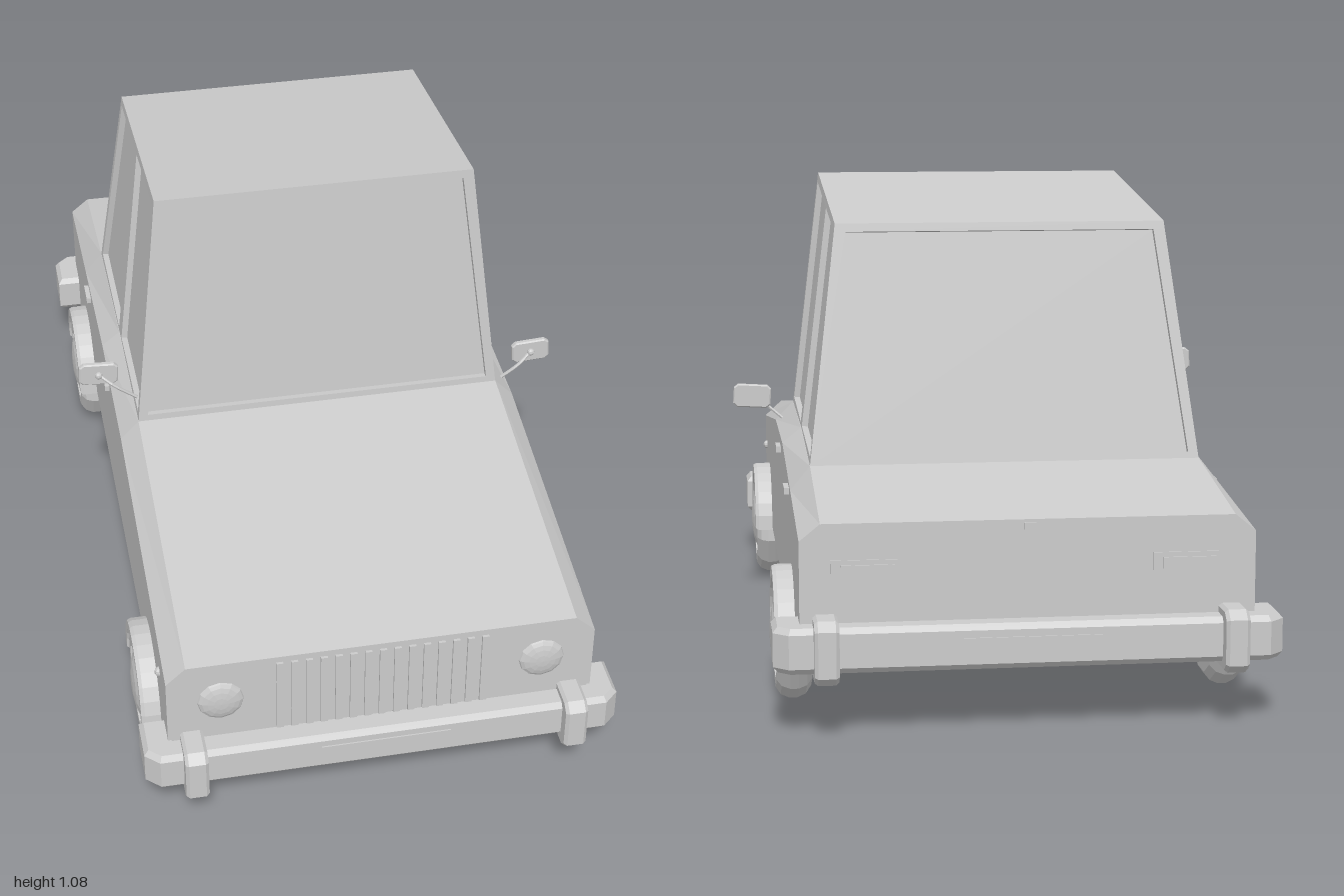
import * as THREE from 'three';

const mat = new THREE.MeshStandardMaterial({ color: 0xcccccc, flatShading: true });
const matDouble = new THREE.MeshStandardMaterial({ color: 0xcccccc, flatShading: true, side: THREE.DoubleSide });

function add(parent, name, geo, x = 0, y = 0, z = 0, material = mat) {
  const m = new THREE.Mesh(geo, material);
  m.name = name;
  m.position.set(x, y, z);
  parent.add(m);
  return m;
}

const box = (w, h, d) => new THREE.BoxGeometry(w, h, d);

// Faceted geometry from four-cornered faces, counter-clockwise from outside
function fromQuads(quads) {
  const pts = quads.flatMap(([a, b, c, d]) => [a, b, c, a, c, d]);
  const g = new THREE.BufferGeometry().setFromPoints(pts);
  g.computeVertexNormals();
  return g;
}

// Flat panel with recessed windows; each window is [bottom u0, bottom u1, top u1, top u0]
function windowPanel([a, b, c, d], windows, v0 = 0.03, v1 = 0.965, depth = 0.014) {
  const n = b.clone().sub(a).cross(d.clone().sub(a)).normalize();
  const P = (u, v, k = 0) => a.clone().lerp(b, u).lerp(d.clone().lerp(c, u), v).addScaledVector(n, -k);
  const quads = [
    [P(0, 0), P(1, 0), P(1, v0), P(0, v0)],
    [P(0, v1), P(1, v1), P(1, 1), P(0, 1)],
  ];
  let [lb, lt] = [0, 0];
  for (const [u0, u1, u2, u3] of [...windows, [1, 1, 1, 1]]) {
    quads.push([P(lb, v0), P(u0, v0), P(u3, v1), P(lt, v1)]);
    [lb, lt] = [u1, u2];
  }
  for (const [u0, u1, u2, u3] of windows) {
    const rim = [[u0, v0], [u1, v0], [u2, v1], [u3, v1]];
    quads.push(rim.map(([u, v]) => P(u, v, depth)));
    rim.forEach((p, i) => {
      const q = rim[(i + 1) % 4];
      quads.push([P(...p), P(...q), P(...q, depth), P(...p, depth)]);
    });
  }
  return fromQuads(quads);
}

// Lower body: six-sided sections [z, crease height, top height], front to back
function bodyGeometry() {
  const rows = [[0.912, 0.38, 0.42], [0.19, 0.482, 0.527], [-0.18, 0.487, 0.522], [-0.565, 0.448, 0.5], [-0.918, 0.41, 0.445]];
  const rings = rows.map(([z, crease, top]) =>
    [[0.468, 0.148], [0.468, crease], [0.425, top], [-0.425, top], [-0.468, crease], [-0.468, 0.148]]
      .map(([x, y]) => new THREE.Vector3(x, y, z)));
  const quads = [];
  for (let i = 0; i < rings.length - 1; i++)
    for (let j = 0; j < 6; j++) {
      const k = (j + 1) % 6;
      quads.push([rings[i][j], rings[i + 1][j], rings[i + 1][k], rings[i][k]]);
    }
  const f = rings[0], r = rings[rings.length - 1];
  quads.push([f[0], f[1], f[4], f[5]], [f[1], f[2], f[3], f[4]]);
  quads.push([r[5], r[4], r[1], r[0]], [r[4], r[3], r[2], r[1]]);
  return fromQuads(quads);
}

function buildCabin(car) {
  const cabin = new THREE.Group();
  cabin.name = 'cabin';
  const V = (x, y, z) => new THREE.Vector3(x, y, z);
  const corners = s => ({
    fb: V(s * 0.425, 0.525, 0.19), ft: V(s * 0.361, 1.09, 0.14),
    rb: V(s * 0.425, 0.498, -0.565), rt: V(s * 0.361, 1.012, -0.465),
  });
  const L = corners(1), R = corners(-1);
  const whole = [[0.025, 0.975, 0.965, 0.035]];
  const side = [[0.025, 0.445, 0.49, 0.03], [0.51, 0.97, 0.965, 0.555]];
  const flipped = side.map(([a, b, c, d]) => [1 - b, 1 - a, 1 - d, 1 - c]).reverse();
  add(cabin, 'windscreen', windowPanel([R.fb, L.fb, L.ft, R.ft], whole));
  add(cabin, 'rearWindow', windowPanel([L.rb, R.rb, R.rt, L.rt], whole));
  add(cabin, 'leftWindows', windowPanel([L.fb, L.rb, L.rt, L.ft], side));
  add(cabin, 'rightWindows', windowPanel([R.rb, R.fb, R.ft, R.rt], flipped));
  add(cabin, 'roof', fromQuads([[R.ft, L.ft, L.rt, R.rt]]));
  car.add(cabin);
}

// Wheel with hubcap and arch, outer side facing +x
function buildWheel(name) {
  const wheel = new THREE.Group();
  wheel.name = name;
  const lathe = pts => new THREE.LatheGeometry(pts.map(p => new THREE.Vector2(...p)), 12, Math.PI / 12).rotateZ(-Math.PI / 2);
  add(wheel, 'tyre', lathe([[0, -0.038], [0.115, -0.038], [0.133, -0.026], [0.141, -0.008], [0.141, 0.01],
    [0.133, 0.028], [0.118, 0.038], [0.098, 0.038], [0.094, 0.026], [0, 0.026]]));
  add(wheel, 'hubcap', lathe([[0.094, 0.024], [0.078, 0.03], [0.074, 0.036], [0.052, 0.044], [0.026, 0.048], [0, 0.049]]));
  const arch = new THREE.Shape();
  arch.absarc(0, 0, 0.142, 0, Math.PI, false);
  arch.absarc(0, 0, 0.122, Math.PI, 0, true);
  const g = new THREE.ExtrudeGeometry(arch, {
    depth: 0.045, curveSegments: 7, bevelEnabled: true, bevelSegments: 1, bevelSize: 0.004, bevelThickness: 0.008,
  });
  add(wheel, 'wheelArch', g.rotateY(Math.PI / 2), -0.01);
  return wheel;
}

// Wrap-around bumper with two guards and a number plate, facing +z
function buildBumper(name) {
  const bumper = new THREE.Group();
  bumper.name = name;
  const outer = [[0.513, 0.85], [0.513, 0.932], [0.488, 0.955], [-0.488, 0.955], [-0.513, 0.932], [-0.513, 0.85],
    [-0.46, 0.85], [-0.46, 0.915], [0.46, 0.915], [0.46, 0.85]];
  const bar = new THREE.ExtrudeGeometry(new THREE.Shape(outer.map(p => new THREE.Vector2(...p))), {
    depth: 0.07, bevelEnabled: true, bevelSegments: 1, bevelSize: 0.01, bevelThickness: 0.012,
  });
  add(bumper, 'bumperBar', bar.rotateX(Math.PI / 2), 0, 0.035);
  const guardShape = new THREE.Shape([[-0.06, 0.905], [-0.06, 0.975], [-0.045, 0.992], [0.045, 0.992], [0.06, 0.975], [0.06, 0.905]]
    .map(([y, z]) => new THREE.Vector2(-z, y)));
  for (const s of [1, -1]) {
    const guard = new THREE.ExtrudeGeometry(guardShape, {
      depth: 0.036, bevelEnabled: true, bevelSegments: 1, bevelSize: 0.006, bevelThickness: 0.007,
    });
    add(bumper, 'bumperGuard', guard.rotateY(Math.PI / 2), s * 0.417 - 0.018);
  }
  add(bumper, 'numberPlate', box(0.285, 0.052, 0.006), 0, -0.006, 0.965);
  return bumper;
}

// Small wing mirror on a thin stalk
function buildMirror(name, side, x, y) {
  const mirror = new THREE.Group();
  mirror.name = name;
  const s = new THREE.Shape([[-0.042, -0.018], [-0.034, -0.025], [0.034, -0.025], [0.042, -0.018],
    [0.042, 0.018], [0.034, 0.025], [-0.034, 0.025], [-0.042, 0.018]].map(p => new THREE.Vector2(...p)));
  const g = new THREE.ExtrudeGeometry(s, { depth: 0.008, bevelEnabled: true, bevelSegments: 1, bevelSize: 0.003, bevelThickness: 0.003 });
  add(mirror, 'mirrorHead', g, x, y, 0.115).rotation.z = side * 0.06;
  const path = new THREE.CatmullRomCurve3([
    new THREE.Vector3(x - side * 0.085, y - 0.068, 0.135),
    new THREE.Vector3(x - side * 0.03, y - 0.022, 0.14),
    new THREE.Vector3(x, y, 0.125)]);
  add(mirror, 'mirrorStalk', new THREE.TubeGeometry(path, 6, 0.004, 6), 0, 0, 0, matDouble);
  add(mirror, 'mirrorJoint', new THREE.SphereGeometry(0.009, 8, 6), x, y, 0.128);
  return mirror;
}

export function createModel() {
  const model = new THREE.Group();
  model.name = 'car';
  const car = new THREE.Group();
  car.name = 'carBody';
  car.position.x = -0.013;
  model.add(car);

  add(car, 'lowerBody', bodyGeometry());
  buildCabin(car);

  // Wheels
  for (const [label, z] of [['front', 0.648], ['rear', -0.595]])
    for (const s of [1, -1]) {
      const w = buildWheel(label + (s > 0 ? 'LeftWheel' : 'RightWheel'));
      w.position.set(s * 0.468, 0.145, z);
      if (s < 0) w.rotation.y = Math.PI;
      car.add(w);
    }

  // Bumpers, the rear one slightly higher
  const front = buildBumper('frontBumper');
  front.position.y = 0.172;
  const rear = buildBumper('rearBumper');
  rear.position.y = 0.194;
  rear.rotation.y = Math.PI;
  car.add(front, rear);

  // Grille
  for (let i = 0; i < 15; i++) add(car, 'grilleBar', box(0.015, 0.195, 0.008), (i - 7) * 0.032, 0.308, 0.914);

  // Lights, markers and door handles on both sides
  for (const s of [1, -1]) {
    const lamp = new THREE.SphereGeometry(0.051, 12, 5, 0, Math.PI * 2, 0, Math.PI / 2).rotateX(Math.PI / 2).scale(1, 1, 0.3);
    add(car, 'headlight', lamp, s * 0.352, 0.318, 0.911);
    add(car, 'rearLight', box(0.15, 0.05, 0.006), s * 0.33, 0.345, -0.918);
    add(car, 'rearLightLens', box(0.11, 0.03, 0.005), s * 0.33, 0.345, -0.922);
    add(car, 'sideMarker', new THREE.SphereGeometry(0.011, 8, 6), s * 0.468, 0.317, 0.8);
    add(car, 'frontDoorHandle', box(0.012, 0.014, 0.055), s * 0.473, 0.457, -0.07);
    add(car, 'rearDoorHandle', box(0.012, 0.014, 0.06), s * 0.473, 0.436, -0.48);
  }
  add(car, 'bootLatch', box(0.025, 0.014, 0.008), 0, 0.432, -0.92);

  // Wing mirrors, the left one set lower
  model.add(buildMirror('leftMirror', 1, 0.514, 0.553), buildMirror('rightMirror', -1, -0.518, 0.625));
  return model;
}
